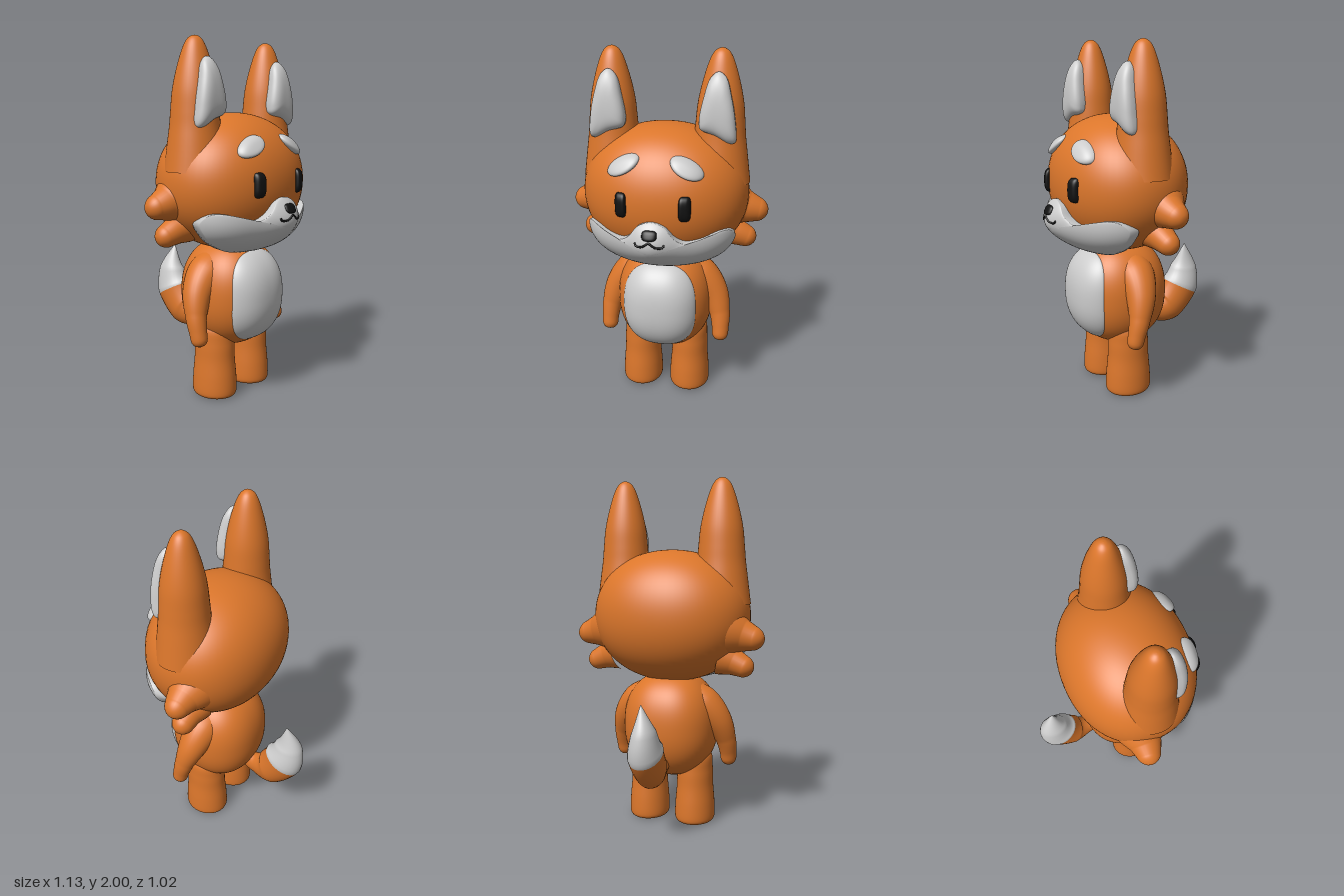
import * as THREE from 'three';
import { mergeVertices } from 'three/addons/utils/BufferGeometryUtils.js';

const V = (x, y, z = 0) => new THREE.Vector3(x, y, z);
const mat = (color) => new THREE.MeshStandardMaterial({ color });

// Weld seams and compute smooth normals
function smooth(geo) {
  geo.deleteAttribute('uv');
  geo.deleteAttribute('normal');
  const g = mergeVertices(geo, 1e-5);
  g.computeVertexNormals();
  return g;
}

// Copy a geometry to the other side of x = 0, keeping faces outward
function mirrored(geo) {
  const g = geo.clone().scale(-1, 1, 1);
  const a = g.index.array;
  for (let i = 0; i < a.length; i += 3) [a[i], a[i + 1]] = [a[i + 1], a[i]];
  g.computeVertexNormals();
  return g;
}

// Slightly squared ellipsoid: centre c, radii r, exponent n
function blob({ c, r, n }) {
  const geo = new THREE.SphereGeometry(1, 64, 48);
  const p = geo.attributes.position;
  for (let i = 0; i < p.count; i++) {
    const d = V(0, 0).fromBufferAttribute(p, i);
    const k = (Math.abs(d.x) ** n + Math.abs(d.y) ** n + Math.abs(d.z) ** n) ** (-1 / n);
    p.setXYZ(i, c.x + d.x * k * r.x, c.y + d.y * k * r.y, c.z + d.z * k * r.z);
  }
  return smooth(geo);
}

// Front surface height of a blob at (x, y)
const frontOf = ({ c, r, n }) => (x, y) => {
  const q = 1 - Math.abs((x - c.x) / r.x) ** n - Math.abs((y - c.y) / r.y) ** n;
  return c.z + r.z * Math.max(0, q) ** (1 / n);
};

// Tube with varying radius; points are [x, y, z, radius], cap rounds off the end
function sweep(points, cap = true) {
  const path = new THREE.CatmullRomCurve3(points.map((p) => V(p[0], p[1], p[2])));
  const segs = 48, sides = 28, len = path.getLength(), last = points.length - 1;
  const geo = new THREE.TubeGeometry(path, segs, 1, sides);
  const p = geo.attributes.position;
  for (let i = 0; i <= segs; i++) {
    const u = i / segs, centre = path.getPointAt(u);
    const f = path.getUtoTmapping(u) * last, k = Math.min(Math.floor(f), last - 1);
    let r = THREE.MathUtils.lerp(points[k][3], points[k + 1][3], f - k);
    const capLen = points[last][3], over = (u * len - (len - capLen)) / capLen;
    if (cap && over > 0) r *= Math.sqrt(Math.max(0, 1 - over * over));
    for (let j = 0; j <= sides; j++) {
      const id = i * (sides + 1) + j;
      const v = V(0, 0).fromBufferAttribute(p, id).sub(centre).multiplyScalar(r).add(centre);
      p.setXYZ(id, v.x, v.y, v.z);
    }
  }
  return smooth(geo);
}

// Domed pad on a surface: outline in x/y, surf(x, y) gives z, rim sinks by skirt
function pad(outline, centre, surf, dome, skirt) {
  const M = 96, N = 16, pos = [], idx = [];
  const ring = new THREE.CatmullRomCurve3(outline, true).getPoints(M).slice(0, M);
  if (THREE.ShapeUtils.area(ring) < 0) ring.reverse();
  const rows = [];
  for (let k = 0; k <= N; k++) {
    const t = Math.sin((k / N) * Math.PI / 2);
    rows.push([t, t, dome * Math.sqrt(Math.max(0, 1 - t ** 4))]);
  }
  rows.push([1, 0.97, -skirt * 0.7], [1, 0.75, -skirt]);
  for (const [t, s, dz] of rows) for (const o of ring) {
    const dx = o.x - centre.x, dy = o.y - centre.y;
    pos.push(centre.x + dx * s, centre.y + dy * s, surf(centre.x + dx * t, centre.y + dy * t) + dz);
  }
  for (let k = 0; k < rows.length - 1; k++) for (let j = 0; j < M; j++) {
    const a = k * M + j, b = k * M + (j + 1) % M;
    if (k > 0) idx.push(a, b + M, b);
    idx.push(a, a + M, b + M);
  }
  const geo = new THREE.BufferGeometry();
  geo.setAttribute('position', new THREE.Float32BufferAttribute(pos, 3));
  geo.setIndex(idx);
  return smooth(geo);
}

// Tilted superellipse outline
function oval(c, rx, ry, n = 2, tilt = 0) {
  return Array.from({ length: 32 }, (_, i) => {
    const a = (i / 32) * Math.PI * 2, co = Math.cos(a), si = Math.sin(a);
    const x = rx * Math.sign(co) * Math.abs(co) ** (2 / n), y = ry * Math.sign(si) * Math.abs(si) ** (2 / n);
    return V(c.x + x * Math.cos(tilt) - y * Math.sin(tilt), c.y + x * Math.sin(tilt) + y * Math.cos(tilt));
  });
}

// Smooth round solid from [radius, y] profile points
function turned(profile) {
  const curve = new THREE.SplineCurve(profile.map(([r, y]) => new THREE.Vector2(r, y)));
  const pts = curve.getPoints(48).map((p) => p.setX(Math.max(0, p.x)));
  return smooth(new THREE.LatheGeometry(pts, 40));
}

export function createModel() {
  const model = new THREE.Group();
  const fur = mat(0xdb762b), pale = mat(0xcccccc), black = mat(0x111111);
  const add = (name, geo, material) => {
    const mesh = new THREE.Mesh(geo, material);
    mesh.name = name;
    model.add(mesh);
  };
  const addPair = (name, geo, material) => {
    add(name + 'Left', geo, material);
    add(name + 'Right', mirrored(geo), material);
  };

  // Head and torso
  const head = { c: V(0, 1.225, 0.073), r: V(0.46, 0.38, 0.365), n: 2.1 };
  const torso = { c: V(0, 0.59, 0.07), r: V(0.275, 0.31, 0.27), n: 2.3 };
  const face = frontOf(head), chest = frontOf(torso);
  add('head', blob(head), fur);
  add('torso', blob(torso), fur);
  add('belly', pad(oval(V(0, 0.59), 0.207, 0.255, 2.6), V(0, 0.59), chest, 0.032, 0.05), pale);

  // Muzzle with a snout bump
  const jaw = frontOf({ c: V(0, 1.08, 0.1), r: V(0.43, 0.25, 0.33), n: 2.3 });
  const snout = (x, y) => jaw(x, y) + 0.07 * Math.exp(-((x / 0.13) ** 2) - ((y - 1.04) / 0.13) ** 2);
  const half = [[0.07, 1.14], [0.12, 1.08], [0.17, 1.05], [0.25, 1.06], [0.33, 1.093], [0.385, 1.09],
    [0.41, 1.04], [0.37, 0.96], [0.275, 0.89], [0.13, 0.845]];
  const muzzle = [V(0, 1.163), ...half.map(([x, y]) => V(x, y)), V(0, 0.832),
    ...half.slice().reverse().map(([x, y]) => V(-x, y))];
  add('muzzle', pad(muzzle, V(0, 1.0), snout, 0.012, 0.08), pale);

  // Nose and mouth
  const lip = (x, y) => snout(x, y) + 0.012;
  add('nose', pad(oval(V(0, 1.106), 0.04, 0.025, 3), V(0, 1.106), lip, 0.01, 0.02), black);
  const smile = [[-0.078, 1.062], [-0.07, 1.047], [-0.04, 1.047], [-0.015, 1.062], [0, 1.072],
    [0.015, 1.062], [0.04, 1.047], [0.07, 1.047], [0.078, 1.062]];
  add('mouth', sweep(smile.map(([x, y]) => [x, y, lip(x, y), 0.0055])), black);

  // Eyes and brows
  addPair('eye', pad(oval(V(0.168, 1.235), 0.031, 0.066, 4), V(0.168, 1.235), face, 0.025, 0.03), black);
  addPair('brow', pad(oval(V(0.167, 1.432), 0.094, 0.042, 2, -0.48), V(0.167, 1.432), face, 0.034, 0.03), pale);

  // Ears with pale inner pads
  const ear = turned([[0.17, 1.3], [0.15, 1.45], [0.138, 1.54], [0.131, 1.62], [0.121, 1.72], [0.1, 1.82],
    [0.07, 1.92], [0.045, 1.973], [0.02, 1.995], [0, 2]]);
  ear.scale(1, 1, 0.97).translate(0.293, 0, 0.077);
  addPair('ear', ear, fur);
  const innerEar = [[0.29, 1.89], [0.25, 1.86], [0.218, 1.76], [0.197, 1.64], [0.205, 1.598], [0.28, 1.57],
    [0.36, 1.53], [0.388, 1.538], [0.385, 1.64], [0.36, 1.77], [0.328, 1.865]].map(([x, y]) => V(x, y));
  const earFront = (x, y) => 0.195 - 0.6 * (y - 1.66) ** 2;
  addPair('innerEar', pad(innerEar, V(0.293, 1.68), earFront, 0.044, 0.05), pale);

  // Cheek tufts
  addPair('upperTuft', sweep([[0.38, 1.145, 0, 0.13], [0.45, 1.128, 0, 0.09], [0.51, 1.115, -0.005, 0.067],
    [0.564, 1.105, -0.012, 0.056]]), fur);
  addPair('lowerTuft', sweep([[0.32, 1.0, 0.01, 0.1], [0.39, 0.978, 0.01, 0.076], [0.45, 0.955, 0.005, 0.062],
    [0.503, 0.935, 0, 0.052]]), fur);

  // Arms hang down and slightly forward
  addPair('arm', sweep([[0.1, 0.74, 0.06, 0.12], [0.2, 0.705, 0.06, 0.11], [0.28, 0.62, 0.075, 0.085],
    [0.323, 0.51, 0.105, 0.06], [0.333, 0.42, 0.13, 0.049], [0.332, 0.34, 0.147, 0.044]]), fur);

  // Legs with rounded feet
  const leg = turned([[0, 0], [0.05, 0], [0.095, 0.002], [0.112, 0.012], [0.118, 0.04], [0.115, 0.12],
    [0.107, 0.22], [0.104, 0.32], [0.09, 0.42], [0, 0.46]]);
  leg.scale(1, 1, 1.14).translate(0.145, 0, 0.078);
  addPair('leg', leg, fur);

  // Curled tail, split into a furry base and a pale pointed tip
  const tail = sweep([[0, 0.4, -0.1, 0.05], [0, 0.385, -0.2, 0.07], [0, 0.405, -0.29, 0.11],
    [0, 0.525, -0.385, 0.122], [0, 0.64, -0.41, 0.084], [0.025, 0.79, -0.4, 0]], false);
  tail.scale(0.78, 1, 1).translate(-0.012, 0, 0);
  const index = Array.from(tail.index.array);
  const cut = Math.round(48 * 0.55) * 28 * 6;
  const base = tail.clone(), tip = tail.clone();
  base.setIndex(index.slice(0, cut));
  tip.setIndex(index.slice(cut));
  add('tailBase', base, fur);
  add('tailTip', tip, pale);
  return model;
}
